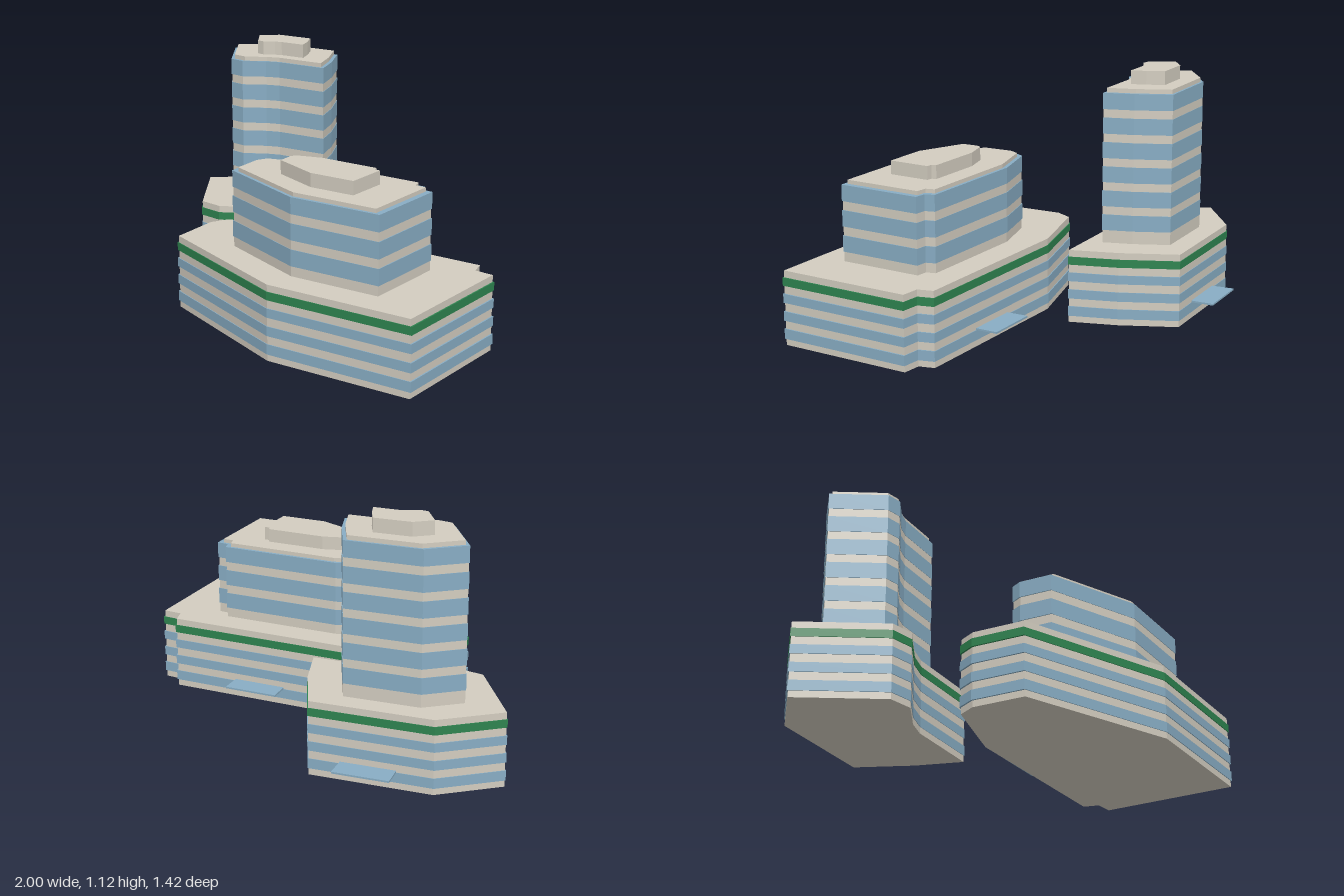
import * as THREE from 'three';

const material = (name, color) => {
  const m = new THREE.MeshStandardMaterial({ color });
  m.name = name;
  return m;
};

export function createModel() {
  const stone = material('stone', 0xd3cdc0);
  const glass = material('blueGlass', 0x88adc4);
  const green = material('greenBand', 0x2e8450);

  // Horizontal slab: footprint of [x, z] corners, scaled about a pivot, from y0 to y1
  function slab(name, mat, points, pivot, scale, y0, y1) {
    const shape = new THREE.Shape(points.map(([x, z]) => new THREE.Vector2(
      pivot[0] + (x - pivot[0]) * scale,
      -(pivot[1] + (z - pivot[1]) * scale))));
    const geo = new THREE.ExtrudeGeometry(shape, { depth: y1 - y0, bevelEnabled: false });
    geo.rotateX(-Math.PI / 2);
    geo.translate(0, y0, 0);
    const mesh = new THREE.Mesh(geo, mat);
    mesh.name = name;
    return mesh;
  }

  // Podium floors: [bottom, top, material]; stone sits slightly behind the glass
  const podiumBands = [
    [0, 0.03, stone], [0.03, 0.076, glass], [0.076, 0.113, stone],
    [0.113, 0.156, glass], [0.156, 0.195, stone], [0.195, 0.236, glass],
    [0.236, 0.273, stone], [0.273, 0.31, green], [0.31, 0.341, stone],
  ];
  const PODIUM_TOP = 0.341, RECESS = 0.99, TOWER = 0.62;

  function building({ name, points, pivot, floors, period, towerTop, capTop, plantTop, canopy }) {
    const g = new THREE.Group();
    g.name = name;
    for (const [y0, y1, mat] of podiumBands) {
      const part = mat === green ? 'podiumGreenBand' : mat === glass ? 'podiumWindows' : 'podiumWall';
      g.add(slab(part, mat, points, pivot, mat === stone ? RECESS : 1, y0, y1));
    }

    // Tower: alternating window and wall bands, counted down from the top
    const windowHeight = 0.074;
    for (let i = 0; i < floors; i++) {
      const top = towerTop - i * period;
      const bottom = top - windowHeight;
      const below = i === floors - 1 ? PODIUM_TOP : top - period;
      g.add(slab('towerWindows', glass, points, pivot, TOWER, bottom, top));
      g.add(slab('towerWall', stone, points, pivot, TOWER * RECESS, below, bottom));
    }

    // Stepped roof
    g.add(slab('roofSlab', stone, points, pivot, 0.58, towerTop, capTop));
    g.add(slab('roofPlantRoom', stone, points, pivot, 0.305, capTop, plantTop));

    // Entrance canopy at the back
    g.add(slab('entranceCanopy', glass, canopy, [0, 0], 1, 0.076, 0.084));
    return g;
  }

  const model = new THREE.Group();
  model.name = 'officeBuildings';
  model.add(building({
    name: 'tallBuilding',
    points: [[-1, -0.33], [-0.77, -0.55], [-0.21, -0.63], [-0.07, -0.39], [0.02, -0.18],
      [-0.37, -0.13], [-0.47, -0.09], [-0.62, 0.012], [-0.74, 0.003]],
    pivot: [-0.487, -0.32],
    floors: 6, period: 0.1125, towerTop: 1.037, capTop: 1.057, plantTop: 1.12,
    canopy: [[-0.625, -0.675], [-0.37, -0.712], [-0.355, -0.605], [-0.605, -0.57]],
  }));
  model.add(building({
    name: 'longBuilding',
    points: [[-0.485, 0.22], [-0.45, 0.135], [-0.08, 0], [0.84, -0.07], [0.865, 0], [0.955, 0],
      [0.998, 0.645], [0.29, 0.705], [-0.455, 0.465]],
    pivot: [0.318, 0.324],
    floors: 3, period: 0.115, towerTop: 0.69, capTop: 0.708, plantTop: 0.77,
    canopy: [[0.257, -0.125], [0.512, -0.147], [0.522, -0.035], [0.27, -0.015]],
  }));
  return model;
}
